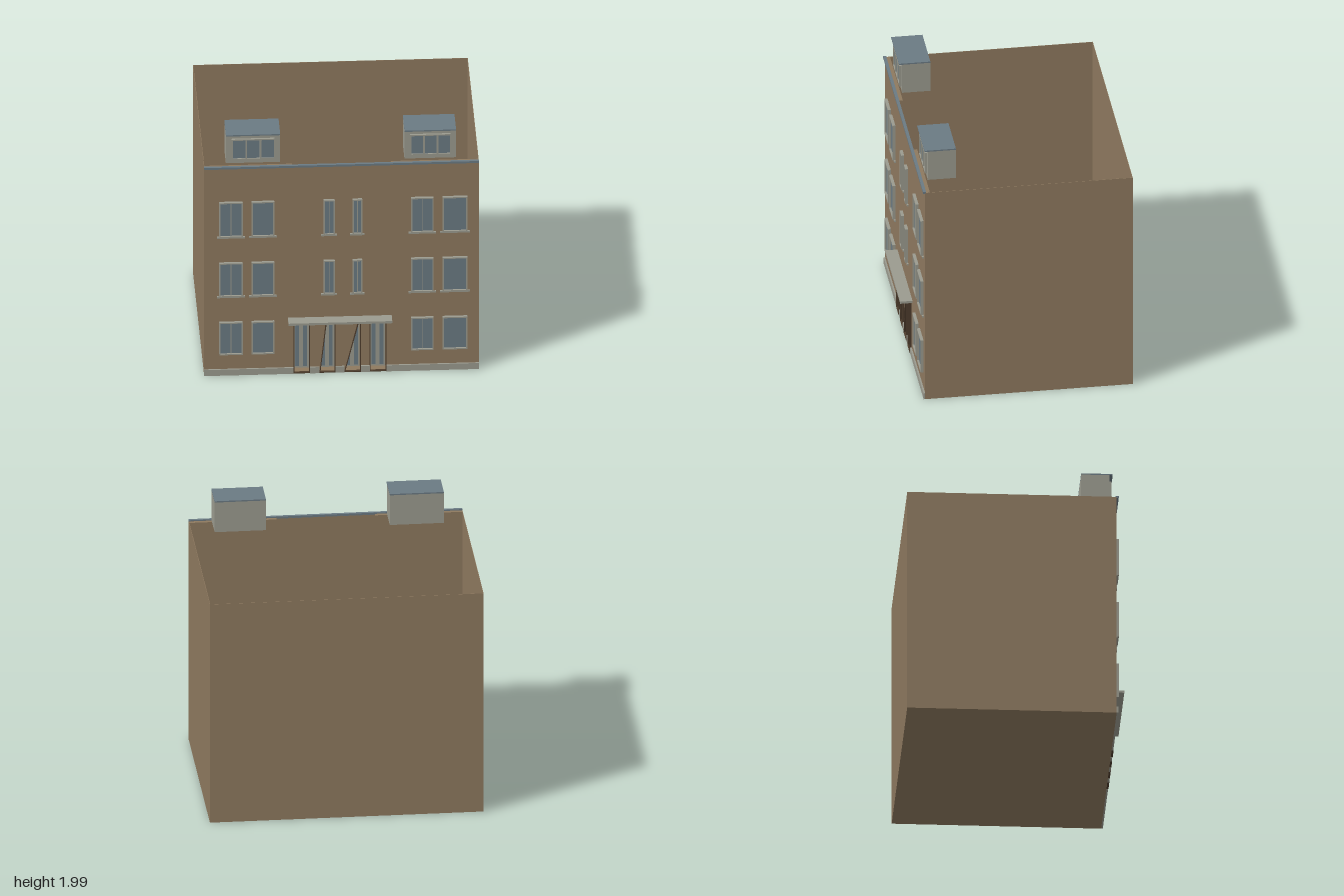
import * as THREE from 'three';

const material = (name, color) => new THREE.MeshStandardMaterial({ name, color });

export function createModel() {
  const brick = material('brick', 0x8e795f);
  const stone = material('stone', 0x9b9b8f);
  const glass = material('glass', 0x6b7a83);
  const darkWood = material('darkWood', 0x4d3c2c);
  const model = new THREE.Group();
  model.name = 'building';

  const add = (parent, name, geometry, mat) => {
    const mesh = new THREE.Mesh(geometry, mat);
    mesh.name = name;
    parent.add(mesh);
    return mesh;
  };
  // box given by its lower and upper limits
  const box = (parent, name, mat, [x0, x1], [y0, y1], [z0, z1]) => {
    const g = new THREE.BoxGeometry(x1 - x0, y1 - y0, z1 - z0);
    g.translate((x0 + x1) / 2, (y0 + y1) / 2, (z0 + z1) / 2);
    return add(parent, name, g, mat);
  };
  const polygon = (pts) => pts.map(([x, y]) => new THREE.Vector2(x, y));
  const rect = (x0, x1, y0, y1) => polygon([[x0, y0], [x1, y0], [x1, y1], [x0, y1]]);
  // flat plate with holes, extruded along z
  const plate = (parent, name, mat, outline, holes, z0, z1) => {
    const shape = new THREE.Shape(outline);
    holes.forEach((h) => shape.holes.push(new THREE.Path(h)));
    const g = new THREE.ExtrudeGeometry(shape, { depth: z1 - z0, bevelEnabled: false });
    g.translate(0, 0, z0);
    return add(parent, name, g, mat);
  };
  const group = (name) => {
    const g = new THREE.Group();
    g.name = name;
    model.add(g);
    return g;
  };

  const front = 0.715, back = -0.81, top = 1.73, t = 0.003;

  // open-topped shell
  const shell = group('shell');
  box(shell, 'floor', brick, [-1, 1], [0, t], [back, front]);
  box(shell, 'backWall', brick, [-1, 1], [0, top], [back, back + t]);
  for (const s of [-1, 1]) {
    const edge = s < 0 ? [-1, -1 + t] : [1 - t, 1];
    box(shell, 'sideWall', brick, edge, [0, top], [back, front]);
    box(shell, 'thickFrontWall', brick, s < 0 ? [-0.999, -0.36] : [0.36, 0.999], [0.001, top - 0.001], [0.68, 0.709]);
  }

  // doors: limits in x and left edge of the opening at its head
  const doorTop = 0.42;
  const doors = [[-0.35, -0.23, -0.35], [-0.16, -0.045, -0.115], [0.02, 0.14, 0.12], [0.205, 0.325, 0.205]];
  const opening = ([x0, x1, head], d = 0) => polygon([
    [x0 + d, 0.004 + d], [x1 - d, 0.004 + d], [x1 - d, doorTop - d], [head + d, doorTop - d],
  ]);
  plate(shell, 'frontWall', brick, rect(-1, 1, 0, top), doors.map((d) => opening(d)), 0.708, front);

  for (const d of doors) {
    const door = group('door');
    const [x0, x1] = d;
    const w = x1 - x0;
    const zb = 0.637;
    box(door, 'recessBack', brick, [x0, x1], [0.001, doorTop], [zb - 0.003, zb]);
    box(door, 'recessHead', brick, [x0, x1], [doorTop, doorTop + t], [zb - 0.003, 0.708]);
    for (const x of [x0 - t, x1]) {
      box(door, 'recessSide', brick, [x, x + t], [0.001, doorTop + t], [zb - 0.003, 0.708]);
    }
    plate(door, 'doorSurround', darkWood, opening(d), [opening(d, 0.006)], 0.709, 0.73);
    box(door, 'doorLeaf', stone, [x0 + 0.004, x1 - 0.004], [0.006, doorTop - 0.004], [zb, zb + 0.01]);
    for (const u of [0.14, 0.62]) {
      box(door, 'doorGlass', glass, [x0 + w * u, x0 + w * (u + 0.24)], [0.02, doorTop - 0.018], [zb + 0.01, zb + 0.014]);
    }
  }

  // plinth between the doors
  const stops = [-1, ...doors.flatMap((d) => [d[0], d[1]]), 1];
  for (let i = 0; i < stops.length; i += 2) {
    box(model, 'plinth', stone, [stops[i], stops[i + 1]], [0, 0.05], [front, 0.727]);
  }
  box(model, 'canopy', stone, [-0.39, 0.365], [0.445, 0.463], [front, 0.805]);

  // windows, with sills on the upper storeys
  const columns = [[-0.89, -0.72], [-0.655, -0.49], [-0.13, -0.05], [0.08, 0.15], [0.505, 0.67], [0.735, 0.915]];
  const storeys = [[0.175, 0.445], [0.66, 0.94], [1.155, 1.445]];
  storeys.forEach(([y0, y1], floor) => {
    columns.forEach(([x0, x1], col) => {
      const narrow = x1 - x0 < 0.1;
      if (narrow && floor === 0) return;
      const win = group('window');
      const f = 0.009;
      plate(win, 'windowFrame', stone, rect(x0, x1, y0, y1), [rect(x0 + f, x1 - f, y0 + f, y1 - f)], front, 0.737);
      box(win, 'windowGlass', glass, [x0 + f, x1 - f], [y0 + f, y1 - f], [front, 0.723]);
      if (col === 0 || col === 4 || narrow) {
        const c = (x0 + x1) / 2;
        box(win, 'mullion', stone, [c - 0.003, c + 0.003], [y0 + f, y1 - f], [0.723, 0.728]);
      }
      if (floor > 0) {
        box(win, 'sill', stone, [x0 - 0.018, x1 + 0.018], [y0 - 0.013, y0], [front, 0.727]);
      }
    });
  });

  // coping along the front edge
  box(model, 'coping', glass, [-1, 1], [1.722, 1.738], [0.708, 0.73]);

  // rooftop dormers
  for (const [x0, x1] of [[-0.84, -0.445], [0.46, 0.835]]) {
    const dormer = group('dormer');
    box(dormer, 'dormerBody', stone, [x0, x1], [1.742, 1.977], [0.465, 0.672]);
    box(dormer, 'dormerRoof', glass, [x0, x1], [1.977, 1.987], [0.465, 0.695]);
    const a = x0 + 0.04, b = x1 - 0.04, y0 = 1.775, y1 = 1.945, f = 0.01;
    const third = (b - a) / 3;
    const panes = [0, 1, 2].map((i) => rect(a + i * third + f, a + (i + 1) * third - f / 3, y0 + f, y1 - f));
    plate(dormer, 'dormerWindowFrame', stone, rect(a, b, y0, y1), panes, 0.672, 0.688);
    box(dormer, 'dormerGlass', glass, [a + f, b - f / 2], [y0 + f, y1 - f], [0.672, 0.679]);
  }
  return model;
}
